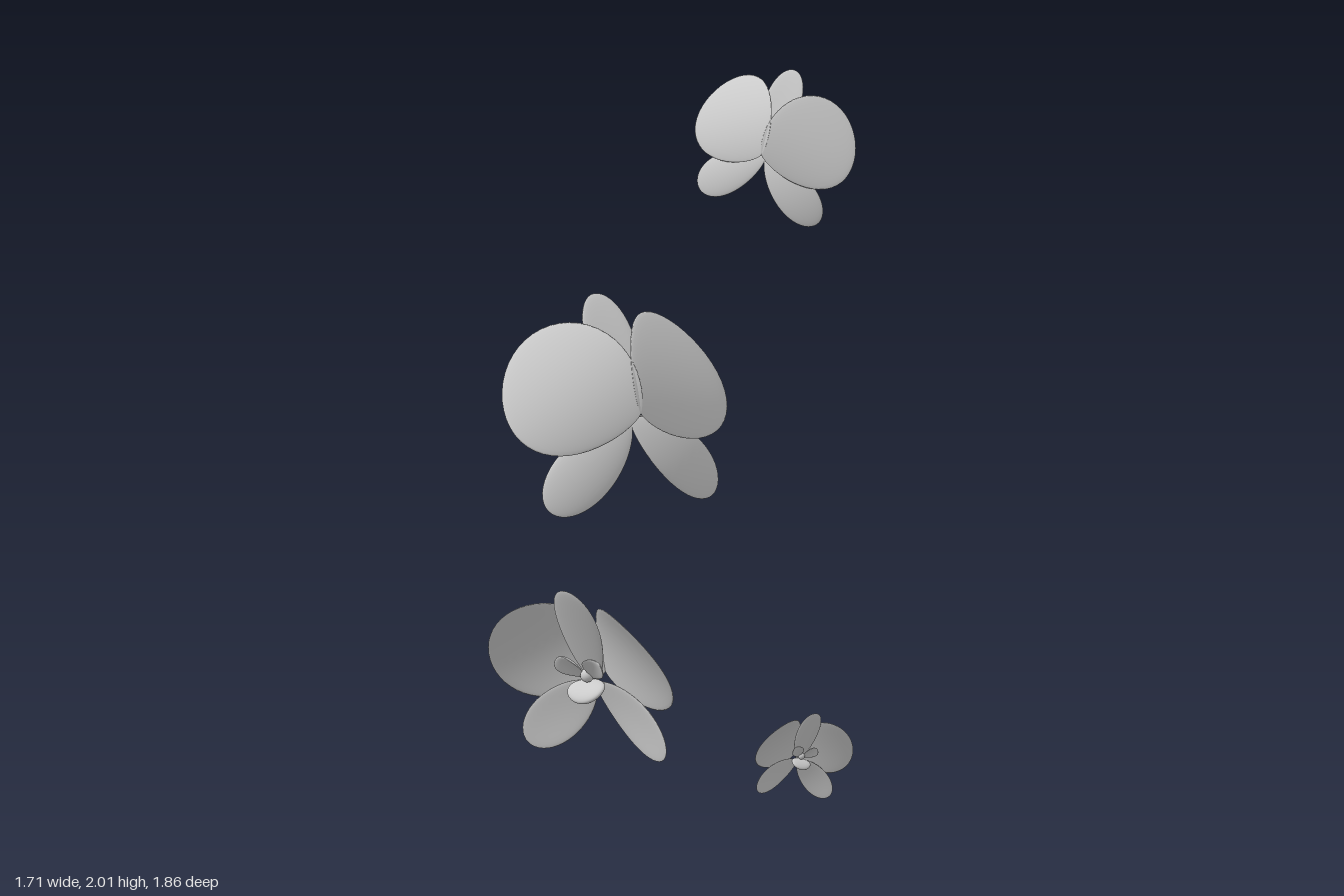
import * as THREE from 'three';
import { mergeVertices } from 'three/addons/utils/BufferGeometryUtils.js';

const material = new THREE.MeshStandardMaterial({ color: 0xcccccc });
const rad = THREE.MathUtils.degToRad;

// Thin egg-shaped blade growing along +y: wide beyond the middle, bent and cupped towards +z.
// The twist turns the base so that its -x edge lies further back.
function blade({ length, half, thick = 0.011, taper = 1.5, bend = 0, curl = 0, twist = 0 }) {
  const geo = new THREE.SphereGeometry(1, 32, 24);
  geo.deleteAttribute('uv');
  geo.deleteAttribute('normal');
  const p = geo.attributes.position;
  for (let i = 0; i < p.count; i++) {
    const x = p.getX(i), z = p.getZ(i);
    const r = Math.hypot(x, z) || 1;
    const t = THREE.MathUtils.clamp((p.getY(i) + 1) / 2, 0, 1);
    const s = t ** taper;
    const f = 2 * Math.sqrt(Math.max(0, s * (1 - s)));
    const across = (x / r) * f;
    const depth = bend * t * t + curl * across * across + twist * (across - 0.4) * (1 - t);
    p.setXYZ(i, across * half, t * length, (z / r) * f * thick + depth);
  }
  const merged = mergeVertices(geo, 1e-5);
  merged.computeVertexNormals();
  return merged;
}

const shapes = {
  petal: blade({ length: 0.425, half: 0.225, taper: 1.35, bend: 0.12, curl: 0.016, twist: 0.08 }),
  dorsalSepal: blade({ length: 0.43, half: 0.09, taper: 1.3, bend: 0.025, curl: -0.008 }),
  lateralSepal: blade({ length: 0.39, half: 0.098, taper: 1.35, bend: 0.105, curl: 0.01 }),
  lipLobe: blade({ length: 0.13, half: 0.077, thick: 0.024, taper: 1.1, bend: 0.005, curl: -0.012 }),
  sideLobe: blade({ length: 0.125, half: 0.047, thick: 0.012, taper: 1.5, bend: 0.025, curl: 0.02 }),
  column: new THREE.SphereGeometry(0.026, 20, 14)
};

// One bloom facing +z, its petals joined at the origin
function makeFlower(name) {
  const flower = new THREE.Group();
  flower.name = name;
  const add = (part, label, pos, rot = [0, 0, 0], mirror = 1) => {
    const mesh = new THREE.Mesh(shapes[part], material);
    mesh.name = label;
    mesh.position.set(...pos);
    mesh.rotation.set(...rot.map(rad));
    mesh.scale.x = mirror;
    flower.add(mesh);
  };

  add('dorsalSepal', 'dorsalSepal', [0, 0, 0.012]);
  for (const [side, k] of [['left', 1], ['right', -1]]) {
    add('petal', side + 'Petal', [0, 0, -0.03], [0, 0, -58 * k], k);
    add('lateralSepal', side + 'LateralSepal', [0, 0, 0.01], [0, 0, -127 * k], k);
    add('sideLobe', side + 'LipSideLobe', [0.02 * k, 0.045, 0.045], [4, 0, -32 * k], k);
  }

  // Lip reaching forward, with the column above it
  add('lipLobe', 'lipMiddleLobe', [0, 0.01, 0.005], [97, 0, 0]);
  add('column', 'column', [0, 0.055, 0.045]);
  return flower;
}

export function createModel() {
  const model = new THREE.Group();
  model.name = 'flowers';

  // Position, yaw / nod / roll in degrees, and size of each bloom
  const blooms = [
    ['lowerFlower', [0.34, 0.4, 0.72], 15, 23, 2, 0.85],
    ['middleFlower', [-0.59, 0.945, -0.24], -100, 27, 0, 1],
    ['topFlower', [-0.485, 1.75, -0.71], -149, 16, 13, 0.67],
    ['smallFlower', [0.755, 0.145, 0.24], 72, 20, -11, 0.42]
  ];
  for (const [name, pos, yaw, nod, roll, size] of blooms) {
    const flower = makeFlower(name);
    flower.position.set(...pos);
    flower.rotation.set(rad(nod), rad(yaw), rad(roll), 'YXZ');
    flower.scale.setScalar(size);
    model.add(flower);
  }
  return model;
}
